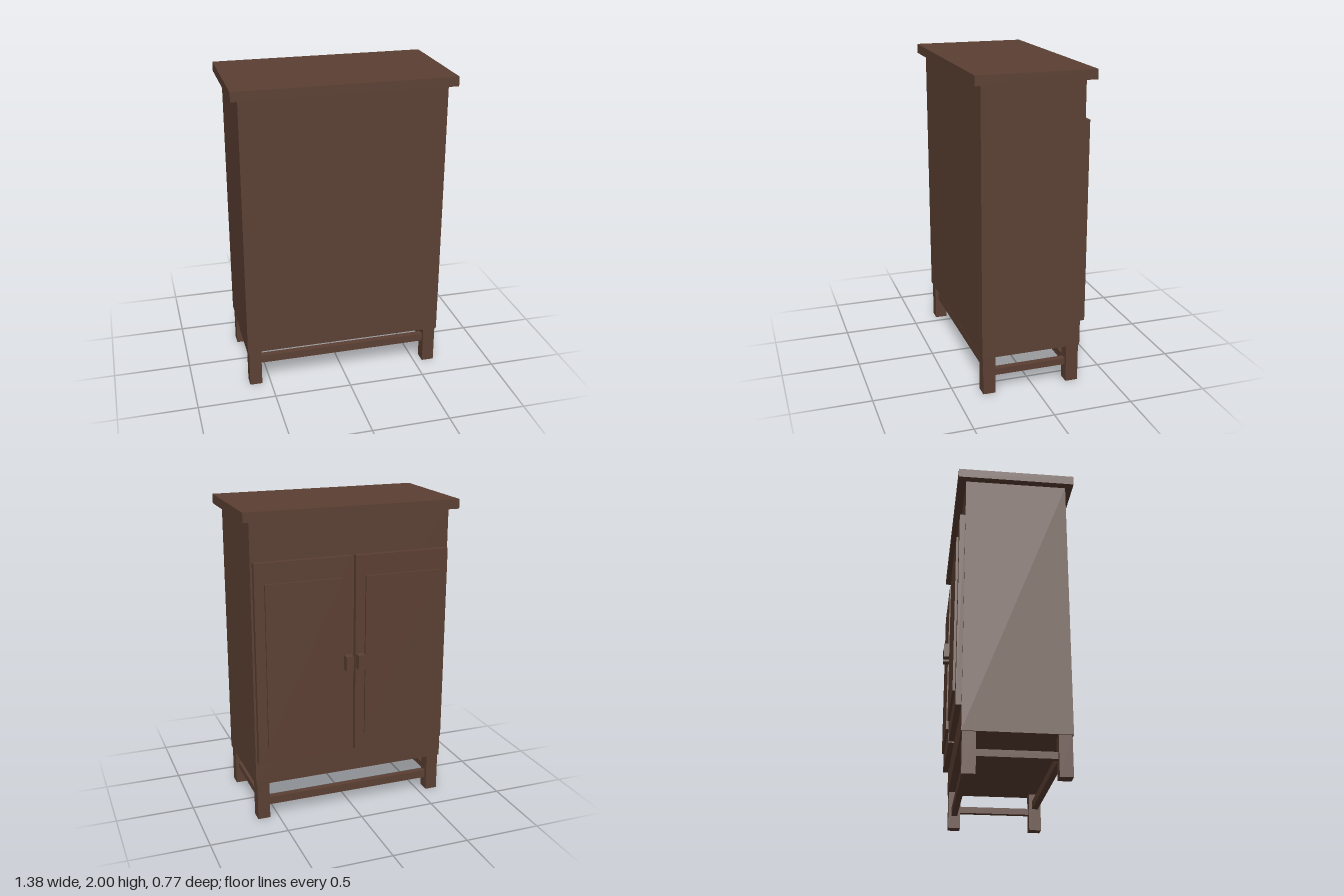
import * as THREE from 'three';

export function createModel() {
  const group = new THREE.Group();
  const wood = new THREE.MeshStandardMaterial({ color: 0x5c4033 });
  wood.name = 'dark brown wood';

  // Box given by its min and max on each axis
  function box(name, [x0, x1], [y0, y1], [z0, z1]) {
    const mesh = new THREE.Mesh(new THREE.BoxGeometry(x1 - x0, y1 - y0, z1 - z0), wood);
    mesh.position.set((x0 + x1) / 2, (y0 + y1) / 2, (z0 + z1) / 2);
    mesh.name = name;
    group.add(mesh);
  }
  const mirror = (side, a, b) => (side > 0 ? [a, b] : [-b, -a]);

  // Carcass and overhanging top
  box('cabinetBody', [-0.645, 0.645], [0.248, 1.94], [-0.302, 0.339]);
  box('topBoard', [-0.692, 0.692], [1.94, 2], [-0.353, 0.386]);

  // Legs, side stretchers, doors with raised panels and handles on each side
  for (const side of [1, -1]) {
    const name = side > 0 ? 'left' : 'right';
    const legX = mirror(side, 0.557, 0.637);
    box(name + 'FrontLeg', legX, [0, 0.248], [0.252, 0.332]);
    box(name + 'BackLeg', legX, [0, 0.248], [-0.297, -0.217]);
    box(name + 'SideStretcher', mirror(side, 0.577, 0.617), [0.11, 0.152], [-0.217, 0.252]);
    box(name + 'Door', mirror(side, 0.013, 0.632), [0.407, 1.694], [-0.337, -0.302]);
    box(name + 'DoorPanel', mirror(side, 0.075, 0.57), [0.52, 1.565], [-0.352, -0.337]);
    box(name + 'Handle', mirror(side, 0.016, 0.064), [0.972, 1.066], [-0.386, -0.337]);
  }

  // Long stretchers, the plain side higher than the door side
  box('frontStretcher', [-0.557, 0.557], [0.145, 0.197], [0.272, 0.312]);
  box('backStretcher', [-0.557, 0.557], [0.082, 0.134], [-0.277, -0.237]);

  return group;
}
